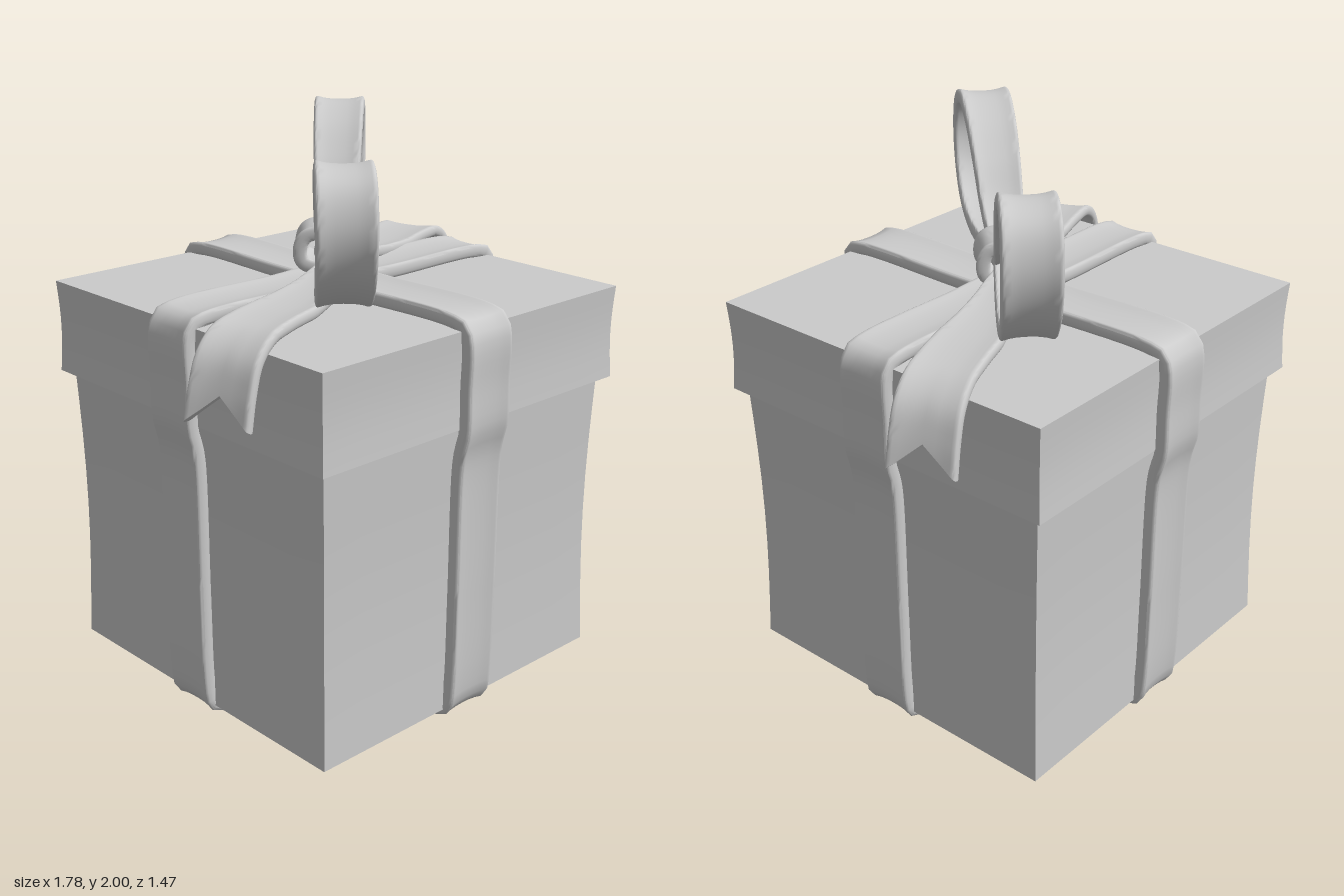
import * as THREE from 'three';
import { toCreasedNormals } from 'three/addons/utils/BufferGeometryUtils.js';

const material = new THREE.MeshStandardMaterial({ color: 0xcccccc });
const V = (x, y, z) => new THREE.Vector3(x, y, z);

// Ribbon cross-section: thin in the middle, thick rolled edges (w across, n through)
const upper = [[1, 0], [0.985, 0.55], [0.95, 0.9], [0.9, 1], [0.82, 0.95], [0.65, 0.78], [0.35, 0.64], [0, 0.6]];
const top = [...upper, ...upper.slice(0, -1).reverse().map(([w, n]) => [-w, n])];
const section = [...top, ...top.slice(1, -1).reverse().map(([w, n]) => [w, -n])];

// Sweep the section along a planar curve; side is the direction across the ribbon
function ribbon(name, points, side, { closed = false, width = () => 0.1, thick = 0.024, notch = 0, steps = 90 }) {
  const curve = new THREE.CatmullRomCurve3(points, closed);
  curve.arcLengthDivisions = 400;
  const M = section.length, pos = [], idx = [];
  const rows = closed ? steps : steps + 1;
  for (let i = 0; i < rows; i++) {
    for (const [w, n] of section) {
      const u = (i / steps) * (1 - notch * (1 - Math.abs(w)));
      const normal = curve.getTangentAt(u).cross(side).normalize();
      const p = curve.getPointAt(u)
        .addScaledVector(side, w * width(u))
        .addScaledVector(normal, n * thick);
      pos.push(p.x, p.y, p.z);
    }
  }
  for (let i = 0; i < steps; i++) {
    const a = i * M, b = ((i + 1) % rows) * M;
    for (let j = 0; j < M; j++) {
      const k = (j + 1) % M;
      idx.push(a + j, a + k, b + k, a + j, b + k, b + j);
    }
  }
  if (!closed) {
    // End caps, stitched between the upper and lower halves of the section
    const e = steps * M;
    for (let j = 0; j < M / 2; j++) {
      const c = M - j - 1, d = (M - j) % M;
      if (j + 1 !== c) idx.push(e + j, e + j + 1, e + c, c, j + 1, j);
      if (j !== d) idx.push(e + j, e + c, e + d, d, c, j);
    }
  }
  const geo = new THREE.BufferGeometry();
  geo.setAttribute('position', new THREE.Float32BufferAttribute(pos, 3));
  geo.setIndex(idx);
  const mesh = new THREE.Mesh(toCreasedNormals(geo, 0.9), material);
  mesh.name = name;
  return mesh;
}

// Box with slightly hollowed sides
function hollowedBox(name, half, y0, y1, waist) {
  const geo = new THREE.BoxGeometry(2 * half, y1 - y0, 2 * half, 8, 8, 8);
  const p = geo.attributes.position;
  for (let i = 0; i < p.count; i++) {
    const t = (p.getY(i) + (y1 - y0) / 2) / (y1 - y0);
    const s = 1 - waist * Math.sin(Math.PI * t);
    p.setX(i, p.getX(i) * s);
    p.setZ(i, p.getZ(i) * s);
  }
  geo.translate(0, (y0 + y1) / 2, 0);
  const mesh = new THREE.Mesh(toCreasedNormals(geo, 0.6), material);
  mesh.name = name;
  return mesh;
}

// Half outline of a band around the box, mirrored into a closed loop
function bandPoints(bottom, topEnd, alongX) {
  const half = [
    ...bottom, [0.625, 0.058], [0.66, 0.085], [0.672, 0.16], [0.678, 0.5], [0.682, 0.96], [0.69, 1.03],
    [0.708, 1.1], [0.709, 1.25], [0.71, 1.4], [0.692, 1.448], [0.63, 1.464], ...topEnd,
  ];
  const loop = [...half, ...half.slice(1, -1).reverse().map(([a, y]) => [-a, y])];
  return loop.map(([a, y]) => (alongX ? V(a, y, 0) : V(0, y, a)));
}

export function createModel() {
  const model = new THREE.Group();
  model.name = 'giftBox';

  // Box and lid
  const box = new THREE.Group();
  box.name = 'wrappedBox';
  box.position.x = -0.005;
  box.add(hollowedBox('boxBody', 0.655, 0.07, 1.13, 0.02));
  box.add(hollowedBox('lid', 0.69, 1.11, 1.44, 0.01));

  // Two crossing bands; the sideways one bulges over the other underneath
  box.add(ribbon('sideBand', bandPoints([[0, 0.026], [0.1, 0.03], [0.28, 0.052]], [[0.2, 1.466], [0, 1.472]], true),
    V(0, 0, 1), { closed: true, steps: 160 }));
  box.add(ribbon('frontBand', bandPoints([[0, 0.06], [0.3, 0.06]], [[0.2, 1.462], [0, 1.462]], false),
    V(1, 0, 0), { closed: true, steps: 160 }));
  model.add(box);

  const bow = new THREE.Group();
  bow.name = 'bow';

  // Place a (distance, height) profile along a horizontal direction
  const along = (profile, dir, x0, z0) => profile.map(([s, y]) => V(x0 + dir.x * s, y, z0 + dir.z * s));
  const across = (dir) => V(-dir.z, 0, dir.x);

  // Bow loops
  const loop = [[-0.05, 1.595], [0.08, 1.605], [0.2, 1.69], [0.31, 1.82], [0.43, 1.925], [0.56, 1.975], [0.67, 1.935],
    [0.715, 1.82], [0.69, 1.68], [0.6, 1.575], [0.46, 1.528], [0.28, 1.53], [0.1, 1.555], [-0.05, 1.56]];
  const loopWidth = (u) => 0.058 + 0.037 * Math.pow(Math.sin(Math.PI * u), 0.8);
  for (const [name, dir, stretch, drop] of [
    ['leftBowLoop', V(0.71, 0, -0.71).normalize(), 1, 0],
    ['rightBowLoop', V(-0.645, 0, 0.765).normalize(), 1.05, 0.02],
  ]) {
    const profile = loop.map(([s, y]) => [s * stretch, y - drop * Math.max(0, (y - 1.55) / 0.42)]);
    bow.add(ribbon(name, along(profile, dir, -0.005, 0), across(dir), { width: loopWidth, thick: 0.026 }));
  }

  // Tails with swallow-tail ends draped over the lid
  const tail = [[-0.02, 1.55], [0.1, 1.535], [0.25, 1.5], [0.42, 1.485], [0.62, 1.485], [0.74, 1.472],
    [0.82, 1.42], [0.865, 1.33], [0.895, 1.225]];
  const tailWidth = (u) => 0.05 + 0.058 * Math.min(1, u * 2.2) + 0.008 * u;
  for (const [name, dir, z0] of [
    ['leftTail', V(0.93, 0, -0.36).normalize(), -0.03],
    ['rightTail', V(-0.94, 0, 0.34).normalize(), 0.08],
  ]) {
    bow.add(ribbon(name, along(tail, dir, 0, z0), across(dir), { width: tailWidth, thick: 0.02, notch: 0.09, steps: 60 }));
  }

  // Knot wrapped round the middle of the bow
  const axis = V(0.71, 0, -0.71).normalize();
  const knot = [[0.1, 1.535], [0.108, 1.585], [0.09, 1.622], [0.04, 1.638], [-0.04, 1.638], [-0.09, 1.622],
    [-0.108, 1.585], [-0.1, 1.535], [-0.05, 1.515], [0.05, 1.515]];
  bow.add(ribbon('knot', along(knot, across(axis), -0.01, -0.003), axis,
    { closed: true, width: () => 0.085, thick: 0.024, steps: 60 }));
  model.add(bow);

  return model;
}
